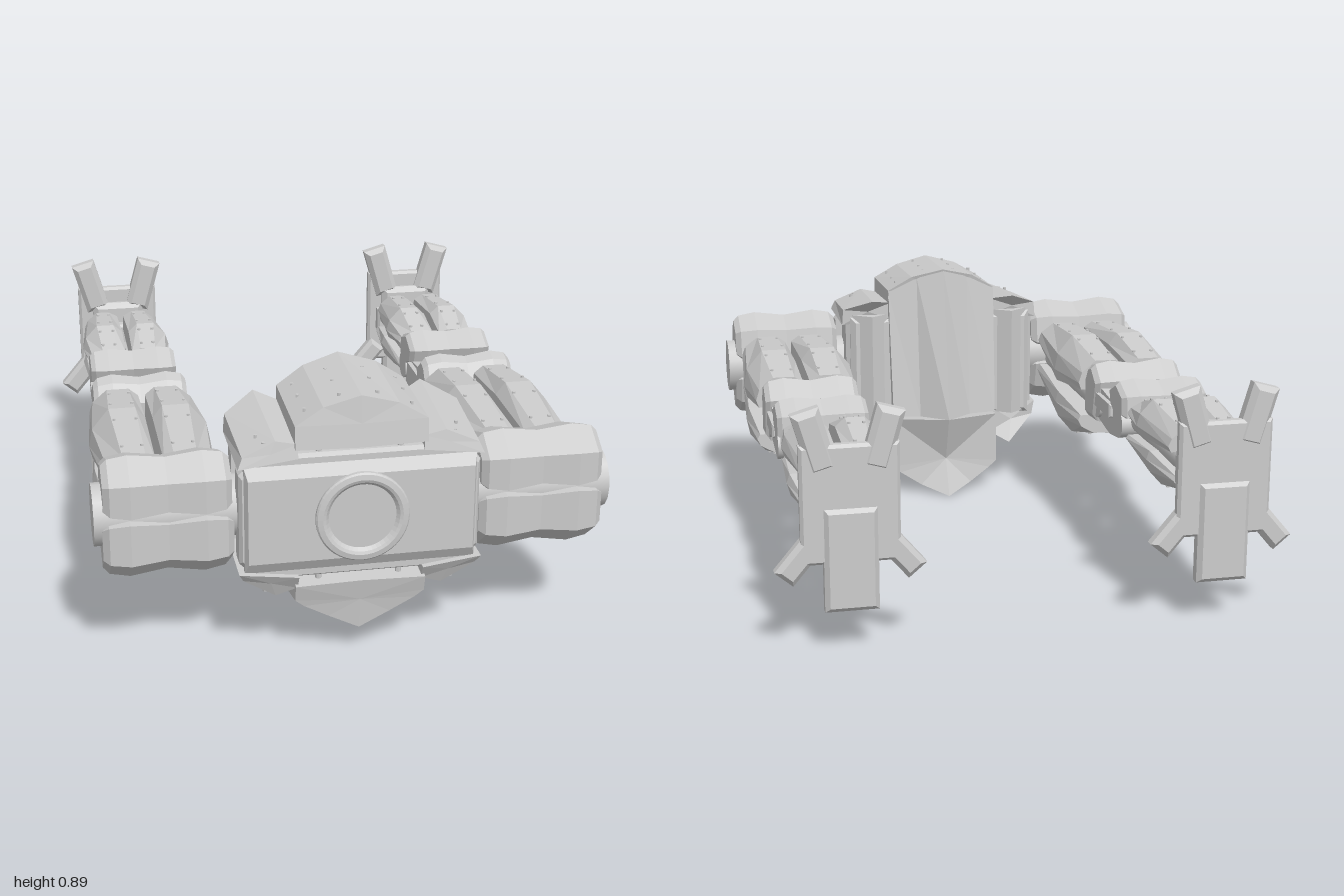
import * as THREE from 'three';

const grey = new THREE.MeshStandardMaterial({ color: 0xcccccc, flatShading: true });
const smooth = new THREE.MeshStandardMaterial({ color: 0xcccccc });

function add(parent, name, geometry, x = 0, y = 0, z = 0, material = grey) {
  const mesh = new THREE.Mesh(geometry, material);
  mesh.name = name;
  mesh.position.set(x, y, z);
  parent.add(mesh);
  return mesh;
}

// Solid skin through equal-length rings of [x, y, z], capped at both ends
function loft(rings) {
  const n = rings[0].length, tris = [];
  const mid = (r) => [0, 1, 2].map((k) => r.reduce((t, p) => t + p[k], 0) / n);
  const first = rings[0], last = rings[rings.length - 1];
  const c0 = mid(first), c1 = mid(last);
  for (let j = 0; j < n; j++) {
    const k = (j + 1) % n;
    for (let i = 0; i < rings.length - 1; i++) {
      const a = rings[i], b = rings[i + 1];
      tris.push([a[j], a[k], b[k]], [a[j], b[k], b[j]]);
    }
    tris.push([c0, first[k], first[j]], [c1, last[j], last[k]]);
  }
  // Turn the skin outward when its signed volume is negative
  let volume = 0;
  for (const [a, b, c] of tris) {
    volume += new THREE.Vector3(...a).dot(new THREE.Vector3(...b).cross(new THREE.Vector3(...c)));
  }
  if (volume < 0) tris.forEach((t) => t.reverse());
  const g = new THREE.BufferGeometry();
  g.setAttribute('position', new THREE.Float32BufferAttribute(tris.flat(2), 3));
  g.computeVertexNormals();
  return g;
}

// Full ring from its +x half, whose first and last points lie on x = 0
const sym = (half) => [...half, ...half.slice(1, -1).reverse().map(([x, y, z]) => [-x, y, z])];

// Box with bevelled front and back rims
function bevelBox(w, h, d, c) {
  const ring = (z, i) => [[-1, -1], [1, -1], [1, 1], [-1, 1]].map(([x, y]) => [x * (w / 2 - i), y * (h / 2 - i), z]);
  return loft([ring(-d / 2, c), ring(-d / 2 + c, 0), ring(d / 2 - c, 0), ring(d / 2, c)]);
}

const rod = (r, len, sides = 16) => new THREE.CylinderGeometry(r, r, len, sides);
const rivetGeometry = rod(0.006, 0.012, 6);

// Two-lobed armour: a [z, y] side profile swept across x, swelling at each lobe
function lobed(profile, halfWidth) {
  const n = profile.length;
  const cz = profile.reduce((t, p) => t + p[0], 0) / n, cy = profile.reduce((t, p) => t + p[1], 0) / n;
  const steps = [[-1, 0.72], [-0.9, 0.9], [-0.58, 1], [0, 0.86], [0.58, 1], [0.9, 0.9], [1, 0.72]];
  return loft(steps.map(([u, k]) => profile.map(([z, y]) => [u * halfWidth, cy + (y - cy) * k, cz + (z - cz) * k])));
}

// A pair of long facetted shells; stations are [z, flat y, crown y, outer x]
function shells(parent, name, stations) {
  for (const s of [-1, 1]) {
    add(parent, name, loft(stations.map(([z, yf, yc, xo]) => {
      const at = (t) => yf + (yc - yf) * t;
      return [[0.01, yf], [0.012, at(0.75)], [0.045, yc], [xo * 0.66, yc], [xo - 0.012, at(0.6)], [xo, at(0.25)], [xo - 0.01, yf]]
        .map(([x, y]) => [s * x, y, z]);
    })));
    // Rivet rows along the crown
    for (let i = 0; i < stations.length - 1; i++) {
      const [a, b] = [stations[i], stations[i + 1]];
      for (const t of [0.2, 0.75]) {
        const v = a.map((q, k) => q + (b[k] - q) * t);
        for (const x of [0.05, v[3] * 0.62]) add(parent, 'rivet', rivetGeometry, s * x, v[2], v[0]);
      }
    }
  }
}

function createFoot() {
  const foot = new THREE.Group();
  foot.name = 'foot';
  add(foot, 'solePlate', bevelBox(0.31, 0.38, 0.04, 0.01), 0, 0.49, -0.967);
  add(foot, 'heel', bevelBox(0.17, 0.335, 0.06, 0.015), 0, 0.3125, -0.97);
  add(foot, 'instep', bevelBox(0.2, 0.24, 0.05, 0.02), 0, 0.5, -0.94);
  for (const s of [-1, 1]) {
    add(foot, 'upperToe', bevelBox(0.09, 0.2, 0.068, 0.018), s * 0.105, 0.69, -0.957).rotation.z = -s * 0.28;
    add(foot, 'lowerToe', bevelBox(0.075, 0.15, 0.06, 0.015), s * 0.16, 0.315, -0.957).rotation.z = s * 0.7;
  }
  return foot;
}

function createLeg() {
  const leg = new THREE.Group();
  leg.name = 'leg';
  // Hip armour
  add(leg, 'upperHipArmour', lobed([[0.95, 0.53], [0.95, 0.64], [0.85, 0.705], [0.72, 0.66], [0.7, 0.55], [0.83, 0.49]], 0.2));
  add(leg, 'lowerHipArmour', lobed([[0.95, 0.51], [0.95, 0.37], [0.85, 0.29], [0.73, 0.36], [0.7, 0.47], [0.83, 0.52]], 0.205));
  add(leg, 'hipAxle', rod(0.1, 0.46), 0, 0.5, 0.82, smooth).rotation.z = Math.PI / 2;
  // Thigh and calf
  shells(leg, 'upperThighShell', [[0.7, 0.545, 0.636, 0.18], [0.35, 0.49, 0.665, 0.205], [0.075, 0.52, 0.628, 0.185]]);
  shells(leg, 'lowerThighShell', [[0.71, 0.465, 0.38, 0.18], [0.35, 0.445, 0.278, 0.2], [0.075, 0.42, 0.348, 0.185]]);
  shells(leg, 'upperCalfShell', [[-0.42, 0.55, 0.6, 0.15], [-0.57, 0.53, 0.648, 0.165], [-0.83, 0.54, 0.615, 0.14]]);
  shells(leg, 'lowerCalfShell', [[-0.39, 0.475, 0.43, 0.145], [-0.67, 0.5, 0.38, 0.16], [-0.88, 0.47, 0.42, 0.135]]);
  // Knee caps
  add(leg, 'frontKneeCap', lobed([[0.075, 0.57], [0.03, 0.635], [-0.02, 0.65], [-0.1, 0.59], [-0.06, 0.42], [0.075, 0.41]], 0.165));
  add(leg, 'rearKneeCap', lobed([[-0.19, 0.6], [-0.29, 0.65], [-0.39, 0.61], [-0.4, 0.53], [-0.3, 0.5], [-0.21, 0.54]], 0.155));
  for (const s of [-1, 1]) {
    add(leg, 'thighTube', rod(0.05, 0.72), s * 0.095, 0.485, 0.36, smooth).rotation.x = Math.PI / 2;
    add(leg, 'calfTube', rod(0.042, 0.55), s * 0.08, 0.515, -0.6, smooth).rotation.x = Math.PI / 2;
    add(leg, 'ankleBall', new THREE.SphereGeometry(0.038, 16, 10), s * 0.08, 0.51, -0.865, smooth);
    // Side links across the knee gap
    const link = [[-0.03, 0.57], [-0.18, 0.555], [-0.32, 0.54], [-0.31, 0.44], [-0.2, 0.425], [-0.03, 0.45]];
    add(leg, 'kneeLink', loft([0.05, 0.145].map((x) => link.map(([z, y]) => [s * x, y, z]))));
    for (const [y, z, r] of [[0.5, -0.33, 0.05], [0.5, -0.06, 0.05]]) {
      add(leg, 'kneePivot', rod(r, 0.12), s * 0.095, y, z, smooth).rotation.z = Math.PI / 2;
    }
    add(leg, 'kneeStrap', bevelBox(0.018, 0.05, 0.2, 0.006), s * 0.152, 0.52, -0.14);
  }
  add(leg, 'ankleBar', bevelBox(0.26, 0.09, 0.05, 0.01), 0, 0.5, -0.893);
  leg.add(createFoot());
  return leg;
}

function createPelvis() {
  const pelvis = new THREE.Group();
  pelvis.name = 'pelvis';
  add(pelvis, 'core', bevelBox(0.72, 0.42, 0.3, 0.02), 0, 0.5, 0.77);

  // Octagonal belt frame, raised panel and round boss
  const octagon = (w, h, c, z) => sym([[0, -h, z], [w - c, -h, z], [w, c - h, z], [w, h - c, z], [w - c, h, z], [0, h, z]]);
  add(pelvis, 'beltFrame', loft([octagon(0.385, 0.21, 0.06, 0.88), octagon(0.385, 0.21, 0.06, 0.945), octagon(0.375, 0.2, 0.06, 0.96)]), 0, 0.5, 0);
  const rect = (w, h, z) => [[-w, -h, z], [w, -h, z], [w, h, z], [-w, h, z]];
  add(pelvis, 'beltPanel', loft([rect(0.37, 0.18, 0.94), rect(0.37, 0.18, 0.96), rect(0.36, 0.142, 0.982)]), 0, 0.5, 0);
  const boss = [[0.15, 0.97], [0.15, 0.992], [0.145, 0.997], [0.128, 1], [0.118, 0.996], [0.108, 0.985], [0, 0.985]];
  add(pelvis, 'beltBoss', new THREE.LatheGeometry(boss.map((p) => new THREE.Vector2(...p)), 48), 0, 0.5, 0).rotation.x = Math.PI / 2;
  for (const x of [-0.3, -0.13, 0.13, 0.3]) {
    for (const y of [0.28, 0.71]) add(pelvis, 'beltPin', rod(0.01, 0.08, 8), x, y, 0.93);
  }

  // Crown, back and keel armour
  add(pelvis, 'upperSkirt', loft([
    sym([[0, 0.725, 0.97], [0.21, 0.73, 0.97], [0.21, 0.805, 0.96], [0.12, 0.858, 0.95], [0, 0.89, 0.95]]),
    sym([[0, 0.7, 0.575], [0.21, 0.7, 0.62], [0.21, 0.815, 0.62], [0.12, 0.87, 0.6], [0, 0.9, 0.575]]),
  ]));
  for (const s of [-1, 1]) {
    for (const z of [0.68, 0.78, 0.9]) {
      add(pelvis, 'rivet', rivetGeometry, s * 0.17, 0.835, z);
      add(pelvis, 'rivet', rivetGeometry, s * 0.06, 0.878, z);
    }
  }
  add(pelvis, 'backPanel', loft([
    sym([[0, 0.885, 0.63], [0.21, 0.81, 0.67], [0.21, 0.81, 0.615], [0.1, 0.865, 0.6], [0, 0.895, 0.565]]),
    sym([[0, 0.32, 0.63], [0.2, 0.32, 0.64], [0.205, 0.32, 0.555], [0.1, 0.32, 0.54], [0, 0.32, 0.46]]),
  ]));
  add(pelvis, 'lowerSkirt', loft([
    sym([[0, 0.09, 0.95], [0.1, 0.14, 0.95], [0.18, 0.185, 0.955], [0.21, 0.21, 0.96], [0.21, 0.265, 0.975], [0, 0.27, 0.975]]),
    sym([[0, 0.005, 0.465], [0.1, 0.04, 0.53], [0.18, 0.09, 0.55], [0.21, 0.115, 0.555], [0.21, 0.31, 0.555], [0, 0.32, 0.465]]),
  ]));

  // Side armour
  for (const s of [-1, 1]) {
    const mirror = (ring) => ring.map(([x, y, z]) => [s * x, y, z]);
    add(pelvis, 'upperSideSkirt', loft([
      [[0.2, 0.7, 0.965], [0.2, 0.745, 0.955], [0.27, 0.76, 0.955], [0.375, 0.715, 0.965], [0.39, 0.68, 0.975]],
      [[0.2, 0.7, 0.63], [0.2, 0.765, 0.63], [0.28, 0.785, 0.57], [0.385, 0.74, 0.65], [0.39, 0.68, 0.65]],
    ].map(mirror)));
    add(pelvis, 'lowerSideSkirt', loft([
      [[0.2, 0.3, 0.98], [0.2, 0.25, 0.95], [0.27, 0.225, 0.94], [0.375, 0.295, 0.96], [0.39, 0.325, 0.98]],
      [[0.2, 0.32, 0.63], [0.2, 0.215, 0.63], [0.27, 0.18, 0.58], [0.38, 0.275, 0.65], [0.39, 0.33, 0.65]],
    ].map(mirror)));
    add(pelvis, 'sideBackPanel', loft([0.72, 0.3].map((y) => mirror(
      [[0.2, y, 0.7], [0.2, y, 0.64], [0.28, y, 0.585], [0.375, y, 0.66], [0.375, y, 0.72]]))));
    for (const z of [0.7, 0.88]) add(pelvis, 'rivet', rivetGeometry, s * 0.32, 0.75, z);
  }
  return pelvis;
}

export function createModel() {
  const model = new THREE.Group();
  model.name = 'mechanicalLowerBody';
  model.add(createPelvis());
  for (const [name, x] of [['leftLeg', 0.6], ['rightLeg', -0.6]]) {
    const leg = createLeg();
    leg.name = name;
    leg.position.x = x;
    model.add(leg);
  }
  return model;
}
